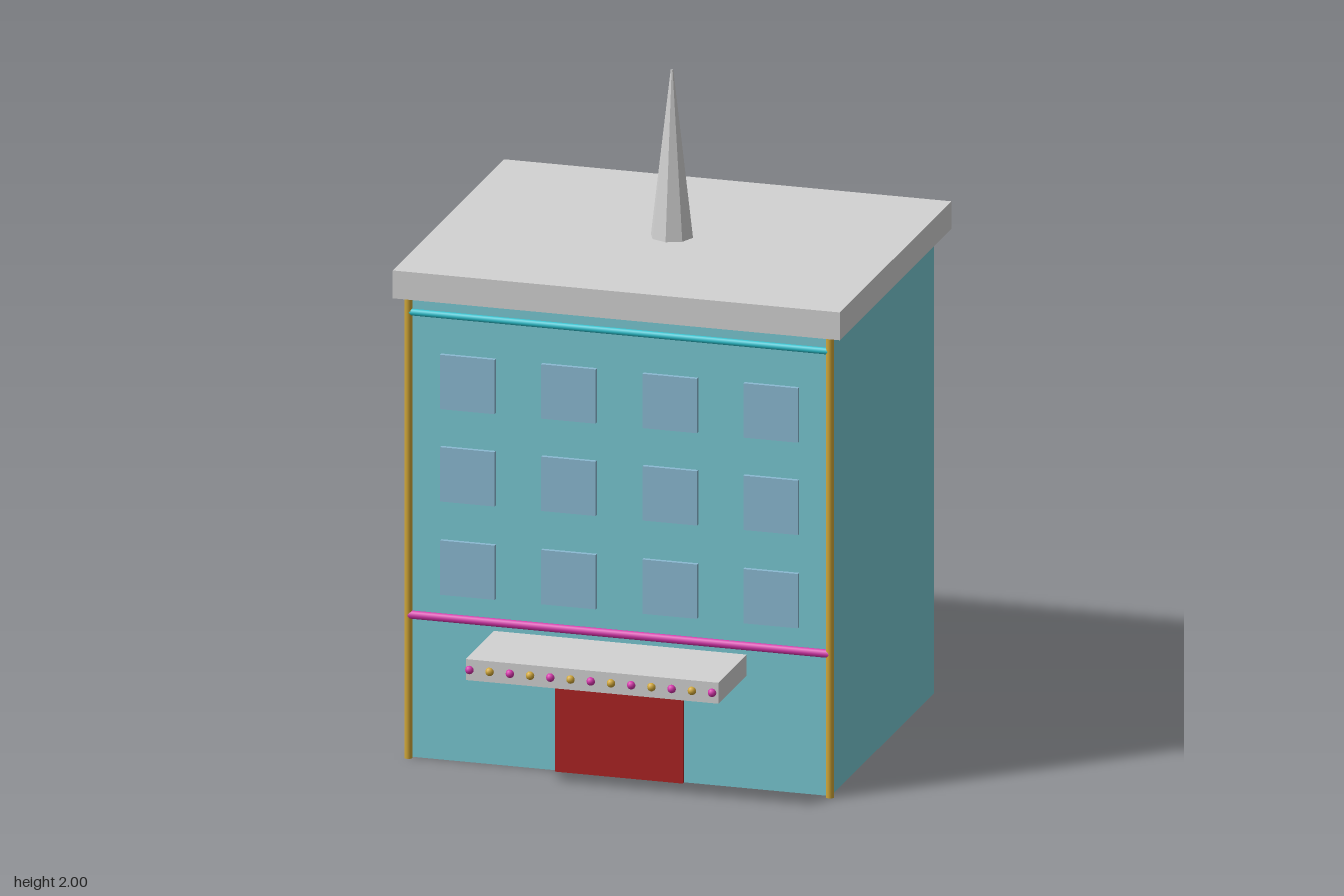
import * as THREE from 'three';

const mat = (name, color) => {
  const m = new THREE.MeshStandardMaterial({ color });
  m.name = name;
  return m;
};

export function createModel() {
  const model = new THREE.Group();
  model.name = 'building';
  const wall = mat('blue wall', 0x79c9d3);
  const stone = mat('light grey', 0xd2d2d2);
  const glass = mat('window blue', 0x8bbad3);
  const red = mat('door red', 0xab2222);
  const gold = mat('gold', 0xd2a838);
  const pink = mat('pink', 0xd636ac);
  const teal = mat('teal', 0x2bc2cf);

  const add = (name, geometry, material, x, y, z, parent = model) => {
    const mesh = new THREE.Mesh(geometry, material);
    mesh.name = name;
    mesh.position.set(x, y, z);
    parent.add(mesh);
    return mesh;
  };
  const group = (name) => {
    const g = new THREE.Group();
    g.name = name;
    model.add(g);
    return g;
  };

  const midZ = -0.127, frontZ = 0.385;

  // Main block, overhanging roof slab and entrance canopy
  add('walls', new THREE.BoxGeometry(1.28, 1.408, 1.024), wall, 0, 0.704, midZ);
  add('roof', new THREE.BoxGeometry(1.36, 0.085, 1.104), stone, 0, 1.4505, midZ);
  add('canopy', new THREE.BoxGeometry(0.768, 0.064, 0.28), stone, 0, 0.376, 0.525);

  // Eight-sided faceted spire
  const spire = new THREE.CylinderGeometry(0.004, 0.064, 0.507, 8).toNonIndexed();
  spire.computeVertexNormals();
  add('spire', spire, stone, 0, 1.7465, midZ);

  // Door and three rows of four windows
  add('door', new THREE.BoxGeometry(0.388, 0.307, 0.02), red, 0, 0.1535, frontZ + 0.003);
  const windows = group('windows');
  const pane = new THREE.BoxGeometry(0.166, 0.166, 0.026);
  for (const y of [0.59, 0.875, 1.157]) {
    for (const x of [-0.461, -0.154, 0.154, 0.461]) add('window', pane, glass, x, y, frontZ, windows);
  }

  // Light tubes along the front edges and across the facade
  const tubeZ = 0.397;
  const upright = new THREE.CylinderGeometry(0.012, 0.012, 1.408, 8);
  for (const side of [-1, 1]) add('cornerTube', upright, gold, side * 0.641, 0.704, tubeZ);
  const crossTube = (name, radius, y, material) => {
    const tube = add(name, new THREE.CylinderGeometry(radius, radius, 1.28, 8), material, 0, y, tubeZ);
    tube.rotation.z = Math.PI / 2;
  };
  crossTube('lowerTube', 0.0128, 0.438, pink);
  crossTube('upperTube', 0.0105, 1.362, teal);

  // Alternating bulbs along the canopy edge
  const bulbs = group('bulbs');
  const bulb = new THREE.SphereGeometry(0.0128, 10, 8);
  for (let i = 0; i < 13; i++) {
    add('bulb', bulb, i % 2 ? gold : pink, -0.373 + i * 0.0615, 0.376, 0.665, bulbs);
  }
  return model;
}
